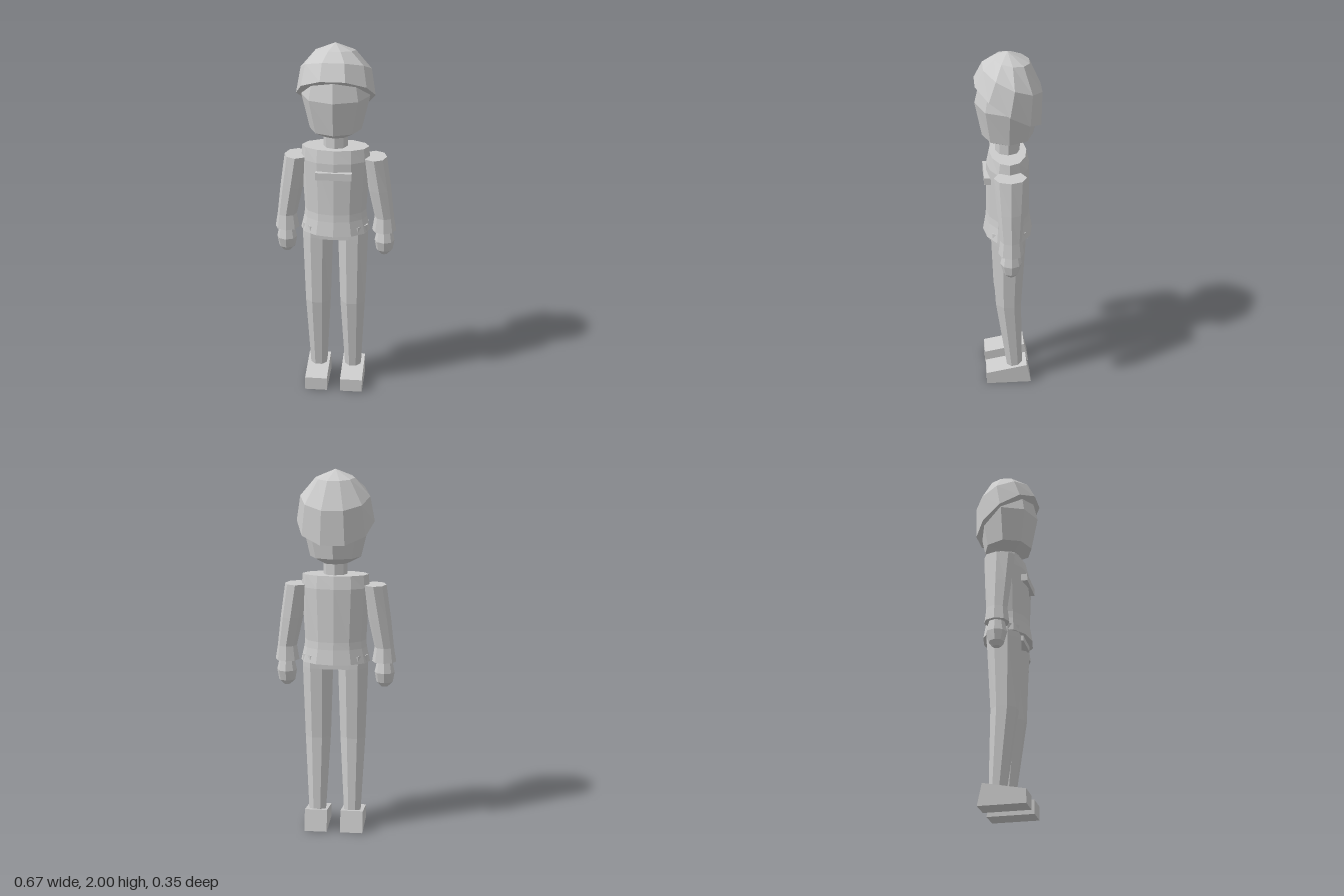
import * as THREE from 'three';

const grey = new THREE.MeshStandardMaterial({ color: 0xcccccc, flatShading: true });
grey.name = 'plain grey';

// Closed faceted body through elliptical rings, listed from top to bottom.
// ring: [y, rx, rz, centre x, centre z, tilt (rise per unit of z)]
function loft(rings, sides, phase = 0) {
  const pos = [];
  const point = ([y, rx, rz, cx = 0, cz = 0, tilt = 0], j) => {
    const a = phase + (j % sides) / sides * Math.PI * 2;
    const dz = rz * Math.sin(a);
    return [cx + rx * Math.cos(a), y + tilt * dz, cz + dz];
  };
  const middle = ([y, , , cx = 0, cz = 0]) => [cx, y, cz];
  const first = rings[0], last = rings[rings.length - 1];
  for (let j = 0; j < sides; j++) {
    for (let i = 0; i < rings.length - 1; i++) {
      const a = point(rings[i], j), b = point(rings[i], j + 1);
      const c = point(rings[i + 1], j), d = point(rings[i + 1], j + 1);
      pos.push(...a, ...b, ...c, ...b, ...d, ...c);
    }
    pos.push(...middle(first), ...point(first, j + 1), ...point(first, j));
    pos.push(...middle(last), ...point(last, j), ...point(last, j + 1));
  }
  const geo = new THREE.BufferGeometry();
  geo.setAttribute('position', new THREE.Float32BufferAttribute(pos, 3));
  geo.computeVertexNormals();
  return geo;
}

export function createModel() {
  const model = new THREE.Group();
  model.name = 'figure';
  const add = (name, geo, x = 0, y = 0, z = 0) => {
    const mesh = new THREE.Mesh(geo, grey);
    mesh.name = name;
    mesh.position.set(x, y, z);
    model.add(mesh);
    return mesh;
  };

  // Head and neck
  add('head', loft([
    [1.88, 0.12, 0.11], [1.84, 0.155, 0.145], [1.72, 0.182, 0.172],
    [1.535, 0.138, 0.135], [1.5, 0.07, 0.07],
  ], 8));
  add('neck', loft([[1.54, 0.065, 0.065], [1.42, 0.065, 0.065]], 8));

  // Hair cap, sloping down to the nape
  add('hairCap', loft([
    [2.0, 0.001, 0.001],
    [1.957, 0.105, 0.096, 0, -0.02, 0.13],
    [1.86, 0.187, 0.159, 0, -0.024, 0.42],
    [1.725, 0.21, 0.18, 0, 0, 0.65],
  ], 10));

  // Jacket, chest pocket and hips
  add('torso', loft([
    [1.44, 0.18, 0.1], [1.37, 0.185, 0.115], [1.08, 0.168, 0.118],
    [1.04, 0.172, 0.122], [0.96, 0.19, 0.135],
  ], 12));
  add('chestPocket', new THREE.BoxGeometry(0.195, 0.04, 0.04), 0, 1.305, 0.11);
  add('hips', new THREE.BoxGeometry(0.16, 0.1, 0.205), 0, 0.98, 0);

  for (const [side, s] of [['left', 1], ['right', -1]]) {
    // Sleeve with a flared cuff
    add(side + 'Arm', loft([
      [1.385, 0.066, 0.086, 0.21 * s], [1.2, 0.062, 0.072, 0.24 * s],
      [1.04, 0.053, 0.058, 0.267 * s], [0.96, 0.066, 0.068, 0.267 * s],
    ], 8));
    add(side + 'Hand', loft([
      [0.98, 0.038, 0.04, 0.27 * s], [0.9, 0.055, 0.058, 0.27 * s],
      [0.845, 0.045, 0.042, 0.27 * s], [0.82, 0.02, 0.022, 0.27 * s],
    ], 8));

    // Leg, bent slightly back below the knee
    add(side + 'Leg', loft([
      [1.0, 0.087, 0.097, 0.097 * s], [0.93, 0.086, 0.096, 0.097 * s],
      [0.53, 0.073, 0.076, 0.097 * s, 0.003], [0.1, 0.049, 0.047, 0.098 * s, -0.032],
    ], 8, Math.PI / 8));

    // Wedge shoe, cut from its side profile
    const profile = new THREE.Shape([
      [0.13, 0], [0.13, 0.075], [-0.1, 0.12], [-0.125, 0],
    ].map(([z, y]) => new THREE.Vector2(-z, y)));
    const shoe = new THREE.ExtrudeGeometry(profile, { depth: 0.125, bevelEnabled: false });
    shoe.translate(0, 0, -0.0625).rotateY(Math.PI / 2);
    add(side + 'Shoe', shoe, 0.1 * s);
  }
  return model;
}
